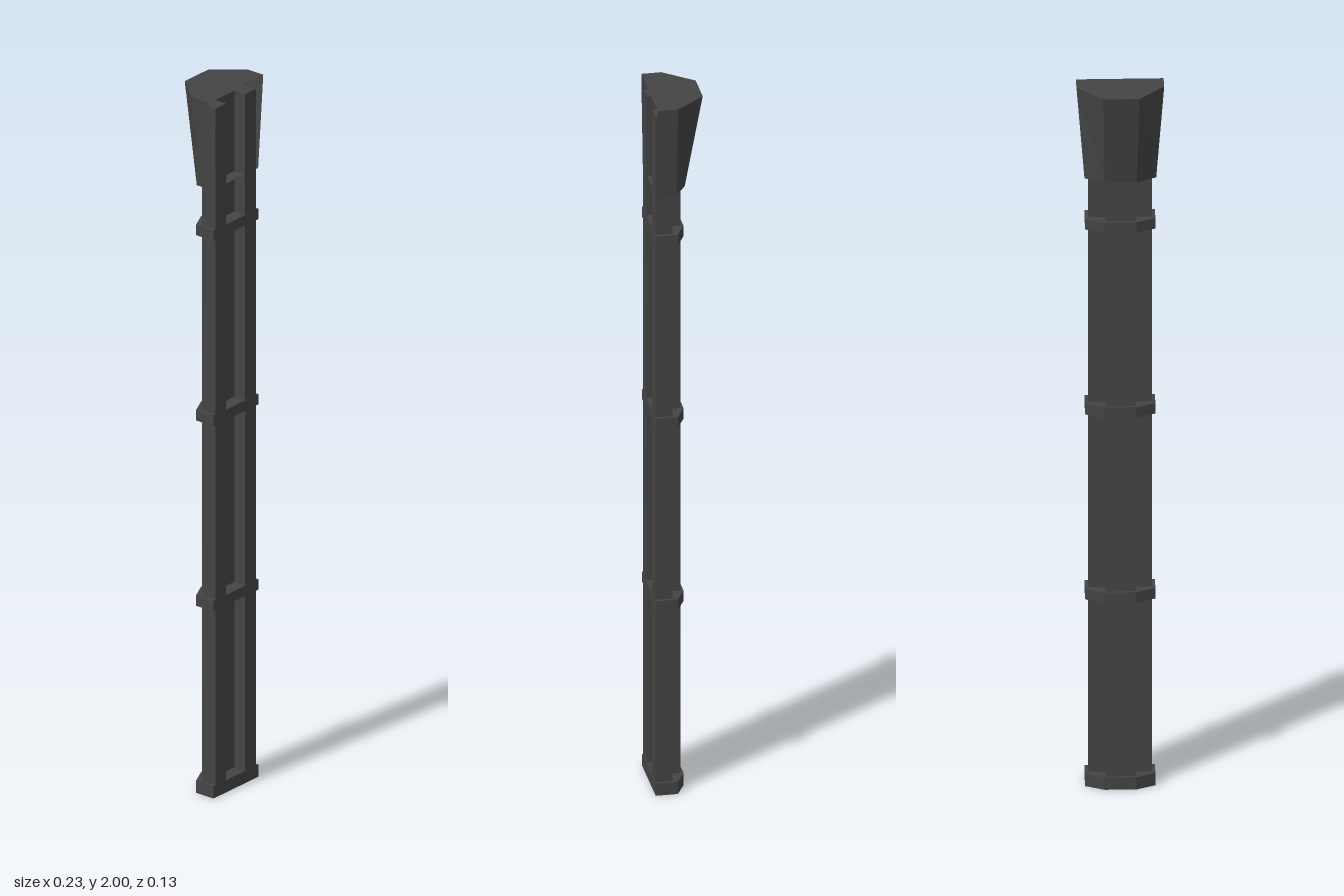
import * as THREE from 'three';

const iron = new THREE.MeshStandardMaterial({ color: 0x444444, side: THREE.DoubleSide });
iron.name = 'dark iron';

// Mirror a half outline of [x, z] points across x = 0
const mirrored = (half) => [...half, ...half.map(([x, z]) => [-x, z]).reverse()];

// Upright prism from an [x, z] outline
function prism(name, outline, y0, y1) {
  const shape = new THREE.Shape(outline.map(([x, z]) => new THREE.Vector2(x, -z)));
  const geo = new THREE.ExtrudeGeometry(shape, { depth: y1 - y0, bevelEnabled: false });
  geo.rotateX(-Math.PI / 2).translate(0, y0, 0);
  const mesh = new THREE.Mesh(geo, iron);
  mesh.name = name;
  return mesh;
}

// Tapered shell between two outlines, open at the front, closed above and below
function taperedShell(name, low, high, y0, y1) {
  const pos = [];
  const quad = (a, b, c, d) => pos.push(...a, ...b, ...c, ...a, ...c, ...d);
  const lo = low.map(([x, z]) => [x, y0, z]);
  const hi = high.map(([x, z]) => [x, y1, z]);
  for (let i = 0; i < lo.length - 1; i++) quad(lo[i + 1], lo[i], hi[i], hi[i + 1]);
  for (let i = 1; i < lo.length - 1; i++) {
    pos.push(...hi[0], ...hi[i], ...hi[i + 1]);
    pos.push(...lo[0], ...lo[i + 1], ...lo[i]);
  }
  const geo = new THREE.BufferGeometry();
  geo.setAttribute('position', new THREE.Float32BufferAttribute(pos, 3));
  geo.computeVertexNormals();
  const mesh = new THREE.Mesh(geo, iron);
  mesh.name = name;
  return mesh;
}

export function createModel() {
  const group = new THREE.Group();
  group.name = 'drainpipe';

  // Pipe: two side ribs with a front channel and a raised middle at the back
  const pipeOutline = mirrored([
    [0.039, 0.03], [0.039, 0.066], [0.083, 0.066],
    [0.083, 0.02], [0.039, 0.02], [0.039, -0.01],
  ]);
  group.add(prism('pipe', pipeOutline, 0, 1.97));

  // Clamping bands with chamfered back corners
  const bandOutline = mirrored([[0.092, 0.067], [0.092, 0.008], [0.042, -0.017]]);
  [[0, 0.035], [0.535, 0.565], [1.065, 1.095], [1.595, 1.625]].forEach(([a, b], i) => {
    group.add(prism(`band${i + 1}`, bandOutline, a, b));
  });

  // Flared rainwater hopper around the top of the pipe
  const hopperLow = mirrored([[0.094, 0.065], [0.094, 0.012], [0.042, -0.02]]);
  const hopperHigh = mirrored([[0.115, 0.065], [0.115, 0.012], [0.048, -0.067]]);
  group.add(taperedShell('hopper', hopperLow, hopperHigh, 1.74, 2));

  return group;
}
